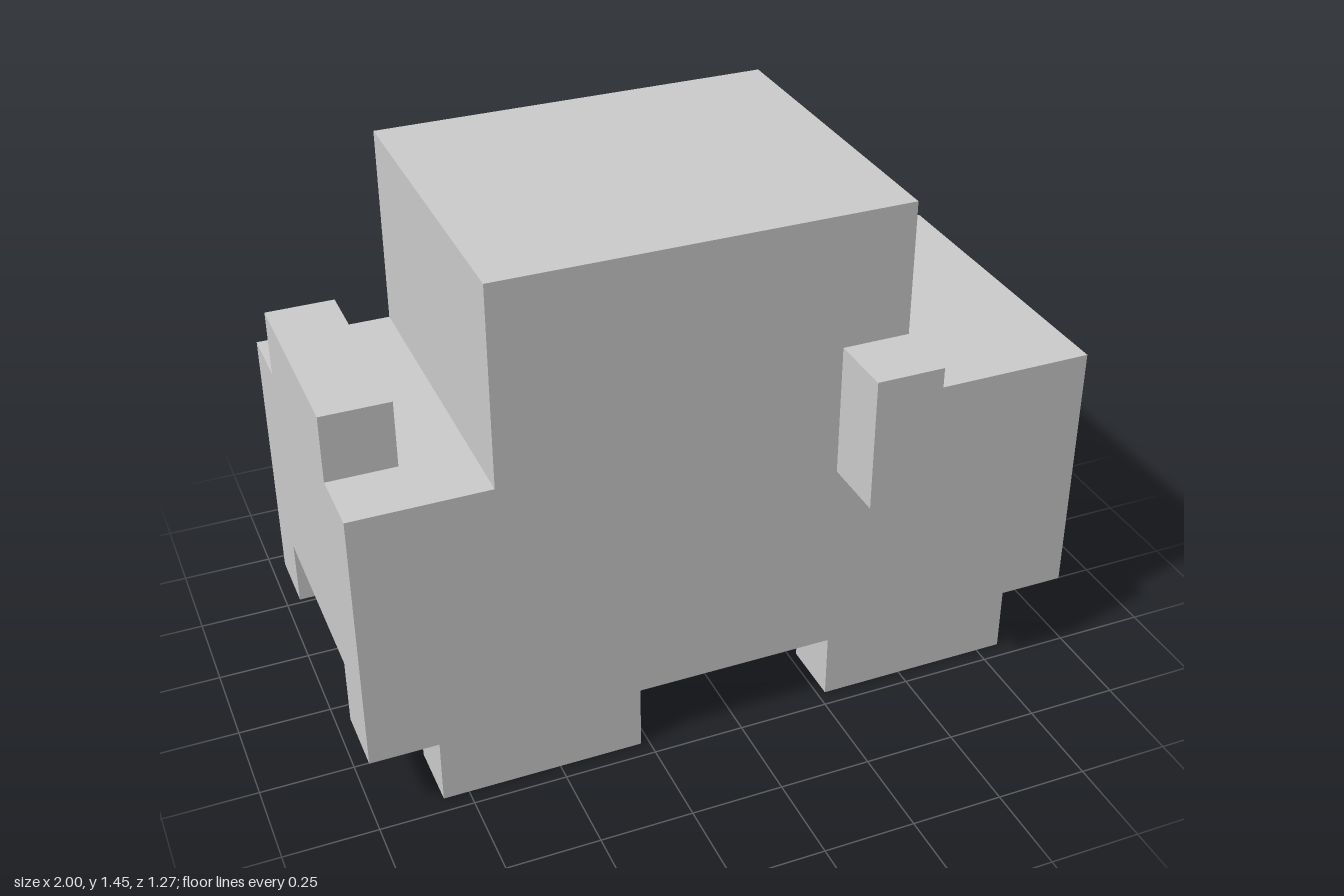
import * as THREE from 'three';

// The whole model sits on a grid of 11 blocks along its length.
const U = 2 / 11;

export function createModel() {
  const model = new THREE.Group();
  model.name = 'blockCar';
  const material = new THREE.MeshStandardMaterial({ color: 0xcccccc, flatShading: true });

  // Box given by its limits in grid blocks
  function block(name, [x0, x1], [y0, y1], [z0, z1]) {
    const geometry = new THREE.BoxGeometry((x1 - x0) * U, (y1 - y0) * U, (z1 - z0) * U);
    const mesh = new THREE.Mesh(geometry, material);
    mesh.name = name;
    mesh.position.set((x0 + x1) / 2 * U, (y0 + y1) / 2 * U, (z0 + z1) / 2 * U);
    model.add(mesh);
  }

  // Body, cabin and the spare wheel on the rear deck
  block('body', [-5.5, 5.5], [2, 5], [-2.5, 2.5]);
  block('cabin', [-3.5, 2.5], [5, 8], [-2.5, 2.5]);
  block('spareWheel', [-5.5, -4.5], [5, 6], [-1.5, 1.5]);

  // Parts repeated on both long sides
  for (const [side, s] of [['front', 1], ['back', -1]]) {
    const span = (a, b) => (s > 0 ? [a, b] : [-b, -a]);
    block(side + 'Skirt', [-5.5, 5.5], [1, 2], span(1.5, 2.5));
    block(side + 'Mirror', [1.5, 2.5], [4, 6], span(2.5, 3.5));
    block(side + 'RearWheel', [-4.5, -1.5], [0, 1], span(1.5, 2.5));
    block(side + 'NoseWheel', [1.5, 4.5], [0, 1], span(1.5, 2.5));
  }

  return model;
}
